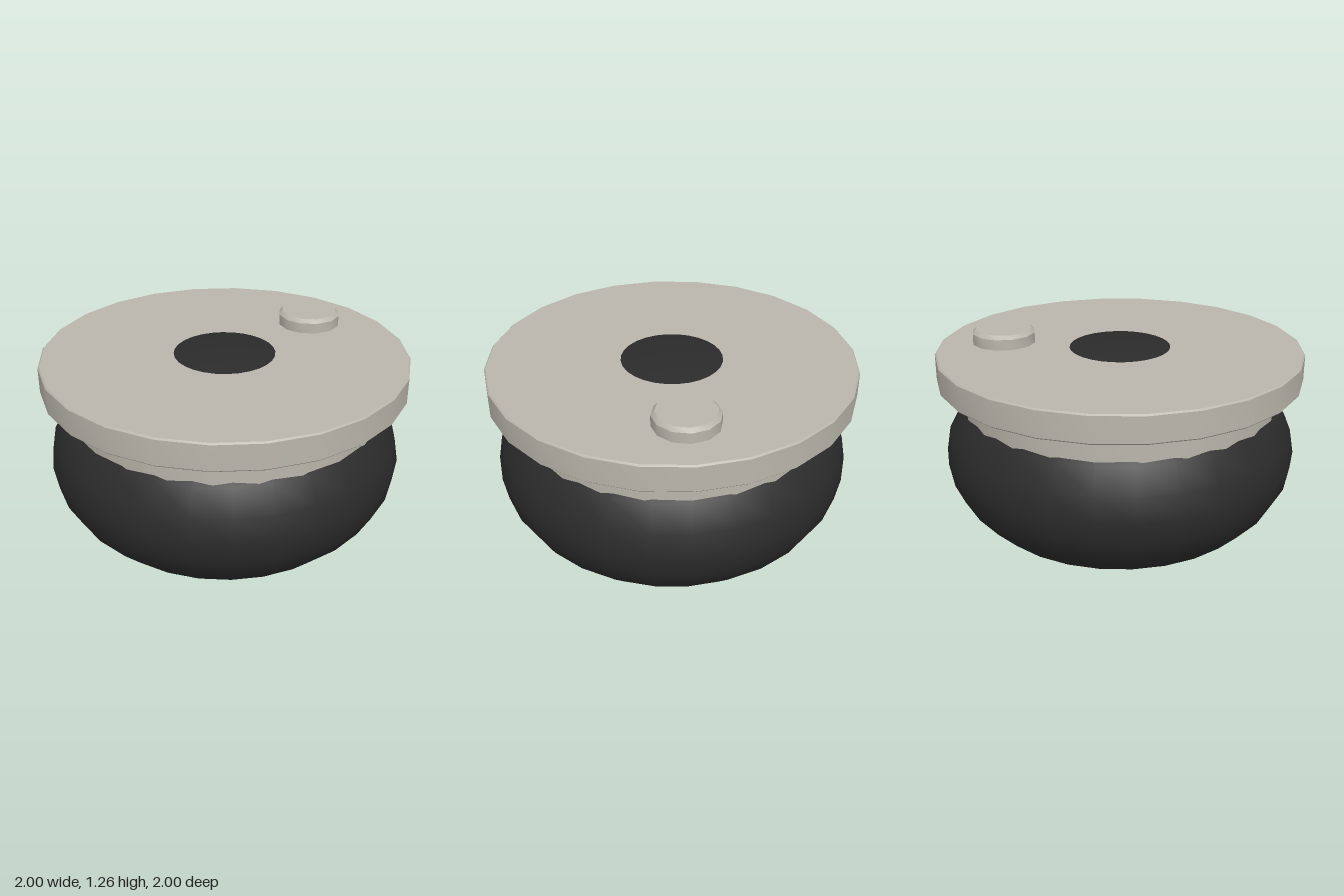
import * as THREE from 'three';
import { toCreasedNormals } from 'three/addons/utils/BufferGeometryUtils.js';

const stone = new THREE.MeshStandardMaterial({ name: 'warm grey', color: 0xbab6ac });
const dark = new THREE.MeshStandardMaterial({ name: 'charcoal', color: 0x2b2b2b });

// Closed disc standing on y = 0 with bevelled rims
function disc(name, radius, height, bevel, sides) {
  const profile = [
    [0, 0], [radius - bevel, 0], [radius, bevel],
    [radius, height - bevel], [radius - bevel, height], [0, height],
  ].map(([r, y]) => new THREE.Vector2(r, y));
  const mesh = new THREE.Mesh(toCreasedNormals(new THREE.LatheGeometry(profile, sides), 0.6), stone);
  mesh.name = name;
  return mesh;
}

export function createModel() {
  const model = new THREE.Group();
  model.name = 'lidded bowl';

  // Squashed round body, its crown just breaking through the lid
  const body = new THREE.Mesh(new THREE.SphereGeometry(1, 28, 14), dark);
  body.name = 'body';
  body.scale.set(0.975, 0.605, 0.975);
  body.position.y = 0.61;

  // Collar under the lid
  const collar = disc('collar', 0.865, 0.185, 0.015, 24);
  collar.position.y = 0.85;

  // Wide flat lid
  const lid = disc('lid', 1, 0.153, 0.008, 24);
  lid.position.y = 1.034;

  // Raised button near the back of the lid
  const button = disc('button', 0.175, 0.1, 0.02, 12);
  button.position.set(0, 1.165, -0.65);

  // Tilted button mostly sunk into the lower front
  const lowerButton = disc('lowerButton', 0.175, 0.09, 0.008, 12);
  lowerButton.position.set(0, 0.205, 0.403);
  lowerButton.rotation.x = 0.95;

  model.add(body, collar, lid, button, lowerButton);
  return model;
}
